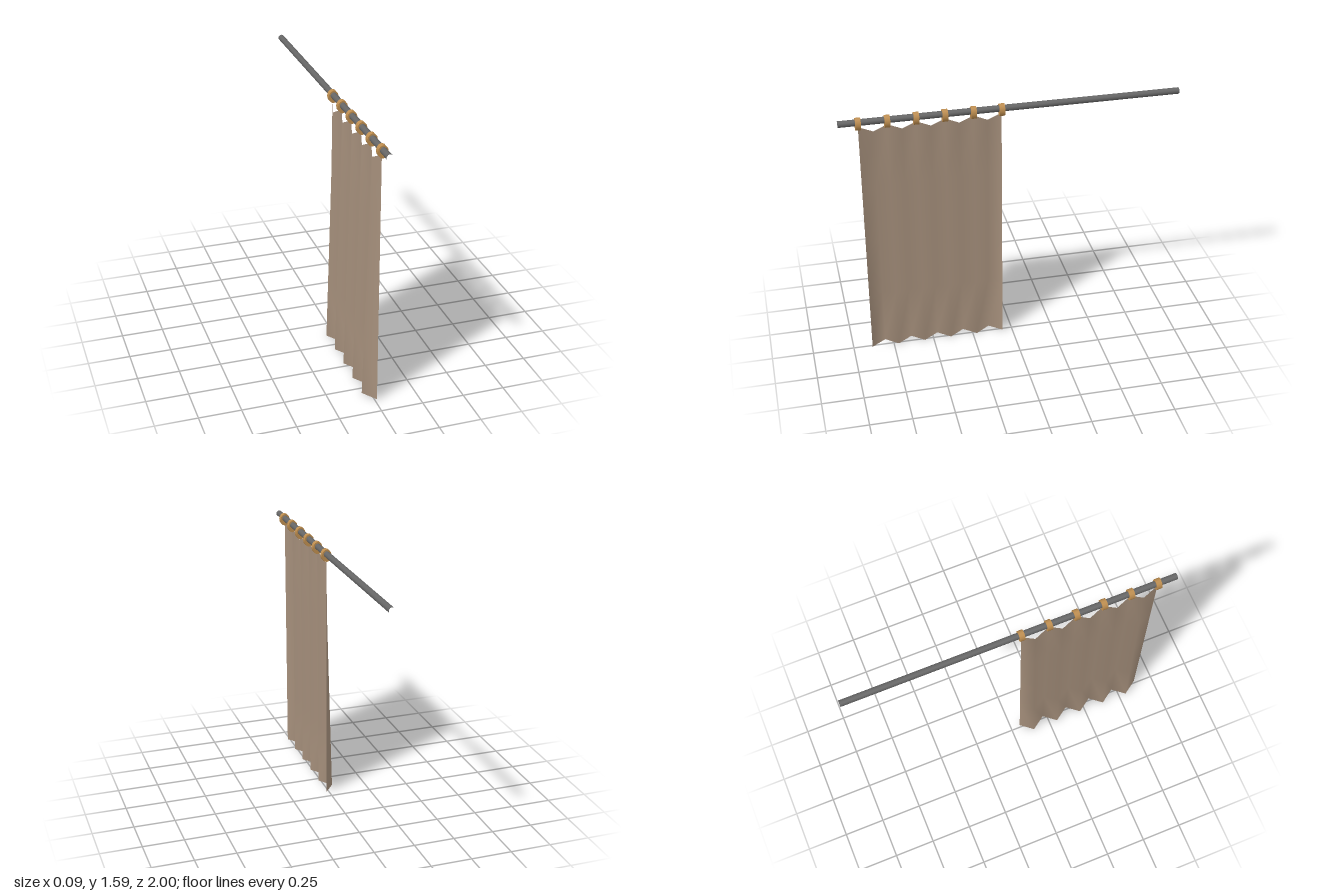
import * as THREE from 'three';

const ROD_X = 0.016, ROD_Y = 1.56;
const RINGS = 6, FIRST_Z = 0.06, PITCH = 0.165;

const paint = (color, extra = {}) => new THREE.MeshStandardMaterial({ color, ...extra });

// Pleated cloth: folds hang from the rings and deepen towards the hem
function curtainGeometry() {
  const columns = (RINGS - 1) * 2, rows = 4;
  const geo = new THREE.PlaneGeometry(1, 1, columns, rows);
  const pos = geo.attributes.position;
  for (let r = 0; r <= rows; r++) {
    for (let c = 0; c <= columns; c++) {
      const fold = c % 2 === 1;
      const t = r / rows; // 0 at the top, 1 at the hem
      const top = fold ? 1.483 : 1.53;
      const x = fold ? THREE.MathUtils.lerp(-0.007, -0.048, t) : 0.014;
      const z = FIRST_Z + (columns - c) * PITCH / 2 - (fold ? 0.005 : 0);
      pos.setXYZ(r * (columns + 1) + c, x, top * (1 - t), z);
    }
  }
  geo.computeVertexNormals();
  return geo;
}

export function createModel() {
  const group = new THREE.Group();

  // Hollow rod along z
  const rod = new THREE.Mesh(
    new THREE.CylinderGeometry(0.019, 0.019, 2, 12, 1, true).rotateX(Math.PI / 2),
    paint(0x666666));
  rod.name = 'rod';
  rod.position.set(ROD_X, ROD_Y, 0);
  group.add(rod);

  // Oval rings around the rod
  const ringGeo = new THREE.CylinderGeometry(1, 1, 0.032, 12)
    .rotateX(Math.PI / 2).scale(0.03, 0.038, 1);
  const ringMat = paint(0xc08f50);
  const rings = new THREE.Group();
  rings.name = 'rings';
  for (let i = 0; i < RINGS; i++) {
    const ring = new THREE.Mesh(ringGeo, ringMat);
    ring.name = 'ring';
    ring.position.set(ROD_X, 1.551, FIRST_Z + i * PITCH);
    rings.add(ring);
  }
  group.add(rings);

  const curtain = new THREE.Mesh(curtainGeometry(), paint(0xa6907c, { side: THREE.DoubleSide }));
  curtain.name = 'curtain';
  group.add(curtain);

  return group;
}
